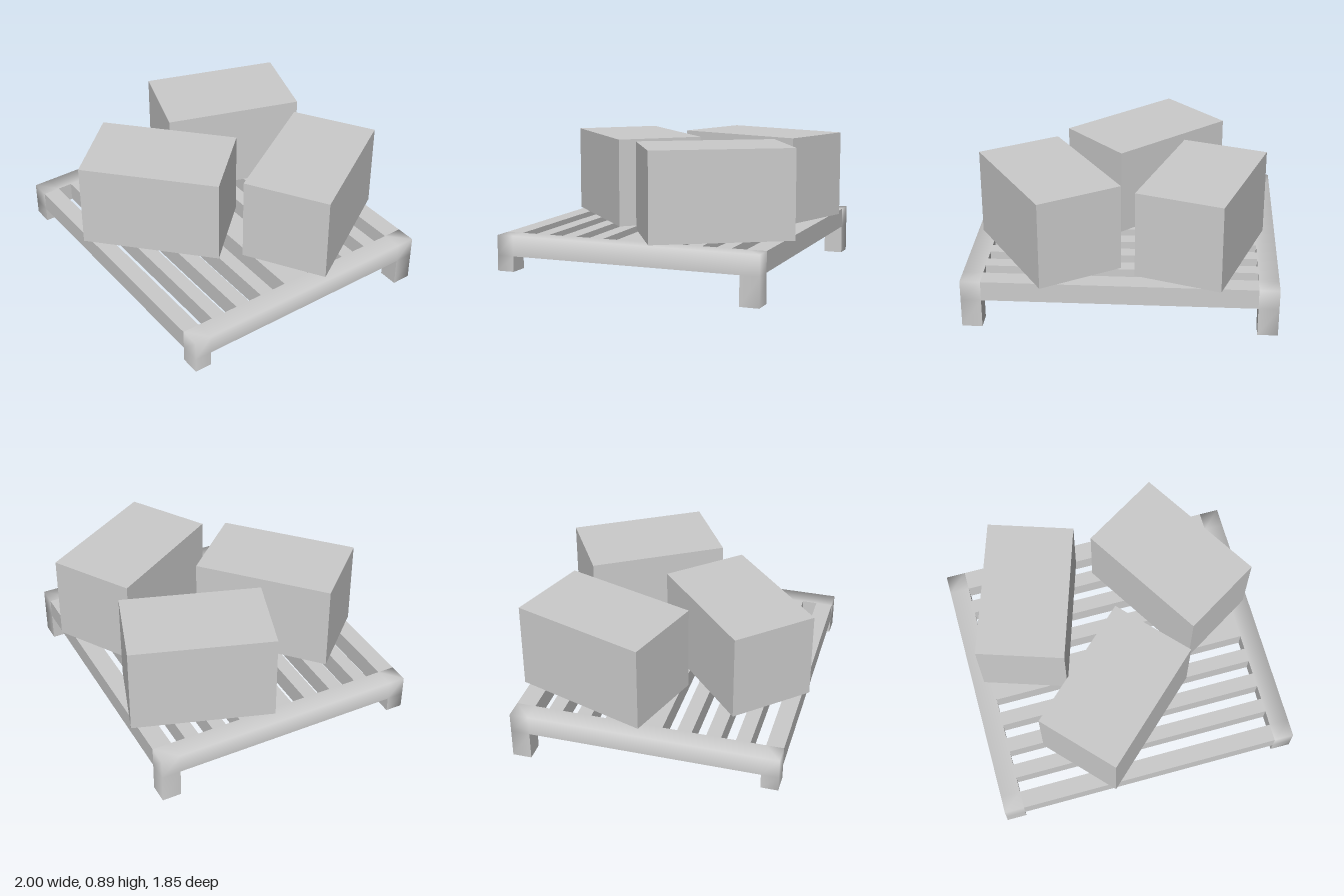
import * as THREE from 'three';
import { mergeGeometries, mergeVertices } from 'three/addons/utils/BufferGeometryUtils.js';

const TOP = 0.32, UNDER = 0.19;      // deck heights
const INNER = 0.87;                  // inner x of the side rails
const BACK = -0.87, FRONT = 0.88;    // z ends of the frame
const BACK_IN = -0.745, FRONT_IN = 0.768;

const solid = new THREE.MeshStandardMaterial({ color: 0xcccccc });
const shell = new THREE.MeshStandardMaterial({ color: 0xcccccc, side: THREE.DoubleSide });

function add(parent, name, geometry, material = solid) {
  const mesh = new THREE.Mesh(geometry, material);
  mesh.name = name;
  parent.add(mesh);
  return mesh;
}

// Box between two limits on each axis
function span(x0, x1, y0, y1, z0, z1) {
  return new THREE.BoxGeometry(x1 - x0, y1 - y0, z1 - z0)
    .translate((x0 + x1) / 2, (y0 + y1) / 2, (z0 + z1) / 2);
}

// Only some faces of a box: 0 +x, 1 -x, 2 +y, 3 -y, 4 +z, 5 -z
function faces(box, sides) {
  const all = Array.from(box.index.array);
  box.setIndex(sides.flatMap((s) => all.slice(s * 6, s * 6 + 6)));
  return box;
}

// Weld the pieces so that shading runs smoothly round their edges
function smooth(parts) {
  const merged = mergeGeometries(parts);
  merged.deleteAttribute('normal');
  merged.deleteAttribute('uv');
  const welded = mergeVertices(merged, 1e-3);
  welded.computeVertexNormals();
  return welded;
}

// Hollow side rail with its two legs, open underneath
function sideFrame(s) {
  const group = new THREE.Group();
  group.name = s > 0 ? 'leftSide' : 'rightSide';
  const x0 = s > 0 ? INNER : -1, x1 = s > 0 ? 1 : -INNER;
  const out = s > 0 ? 0 : 1, inn = 1 - out;

  // rail in three lengths, legs continuing below its ends
  const skin = [
    faces(span(x0, x1, UNDER, TOP, BACK, BACK_IN), [out, 2, 5]),
    faces(span(x0, x1, UNDER, TOP, BACK_IN, FRONT_IN), [out, 2]),
    faces(span(x0, x1, UNDER, TOP, FRONT_IN, FRONT), [out, 2, 4]),
    faces(span(x0, x1, 0, UNDER, BACK, BACK_IN), [out, 5]),
    faces(span(x0, x1, 0.09, UNDER, FRONT_IN, FRONT), [out, 4]),
  ];
  add(group, 'railAndLegs', smooth(skin), shell);

  // inner walls
  add(group, 'railInnerWall', faces(span(x0, x1, UNDER, TOP, BACK, FRONT), [inn]), shell);
  add(group, 'backLegInside', faces(span(x0, x1, 0, UNDER, BACK, BACK_IN), [inn, 4]), shell);
  add(group, 'frontLegInside', faces(span(x0, x1, 0.09, UNDER, FRONT_IN, FRONT), [inn, 5]), shell);
  return group;
}

export function createModel() {
  const model = new THREE.Group();
  model.name = 'palletWithBoxes';

  const pallet = new THREE.Group();
  pallet.name = 'pallet';
  model.add(pallet);
  pallet.add(sideFrame(1), sideFrame(-1));

  // end bars
  add(pallet, 'backBar', span(-INNER, INNER, UNDER, TOP, BACK, BACK_IN));
  add(pallet, 'frontBar', span(-INNER, INNER, UNDER, TOP, FRONT_IN, FRONT));

  // slats, the middle one twice as wide
  const slats = [
    [-0.65, -0.557], [-0.46, -0.366], [-0.27, -0.177], [-0.083, 0.105],
    [0.2, 0.294], [0.388, 0.483], [0.577, 0.67],
  ];
  for (const [z0, z1] of slats) add(pallet, 'slat', span(-INNER, INNER, UNDER, TOP, z0, z1));

  // three equal boxes turned at different angles: x, z, turn
  const boxes = [[-0.507, -0.385, -0.32], [0.485, -0.39, 0.55], [-0.11, 0.4, -0.823]];
  for (const [x, z, turn] of boxes) {
    const box = add(model, 'box', new THREE.BoxGeometry(0.573, 0.575, 0.916));
    box.position.set(x, TOP + 0.2875, z);
    box.rotation.y = turn;
  }
  return model;
}
